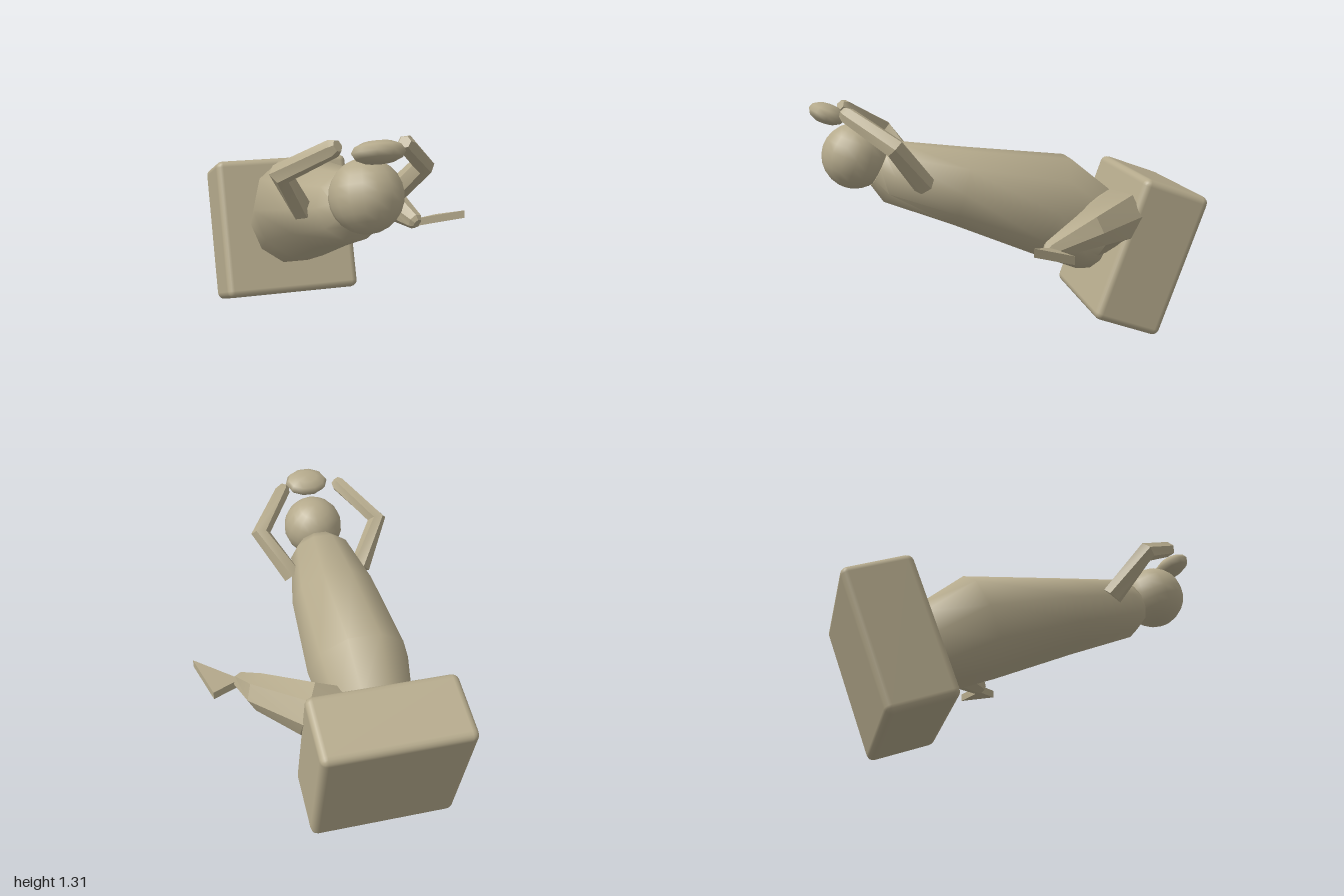
import * as THREE from 'three';
import { toCreasedNormals } from 'three/addons/utils/BufferGeometryUtils.js';
import { RoundedBoxGeometry } from 'three/addons/geometries/RoundedBoxGeometry.js';
import { ConvexGeometry } from 'three/addons/geometries/ConvexGeometry.js';

const V = (x, y, z) => new THREE.Vector3(x, y, z);

// Closed loft through rings [x, y, z, radiusAcross, radiusUp]
function loft(rings, sides, crease) {
  const pos = [], idx = [], up = V(0, 1, 0);
  const c = rings.map(r => V(r[0], r[1], r[2]));
  const dir = i => c[i + 1].clone().sub(c[i]).normalize();
  const last = rings.length - 1;
  rings.forEach((r, i) => {
    const t = V(0, 0, 0);
    if (i > 0) t.add(dir(i - 1));
    if (i < last) t.add(dir(i));
    t.normalize();
    const s = up.clone().cross(t).normalize(), v = t.clone().cross(s);
    for (let j = 0; j < sides; j++) {
      const a = (j / sides) * Math.PI * 2;
      const p = c[i].clone().addScaledVector(s, Math.cos(a) * r[3])
        .addScaledVector(v, Math.sin(a) * (r[4] ?? r[3]));
      pos.push(p.x, p.y, p.z);
    }
  });
  for (let i = 0; i < last; i++) {
    for (let j = 0; j < sides; j++) {
      const k = (j + 1) % sides, a = i * sides, b = a + sides;
      idx.push(a + j, a + k, b + k, a + j, b + k, b + j);
    }
  }
  for (let j = 1; j < sides - 1; j++) {
    const e = last * sides;
    idx.push(0, j + 1, j, e, e + j, e + j + 1);
  }
  const g = new THREE.BufferGeometry();
  g.setAttribute('position', new THREE.Float32BufferAttribute(pos, 3));
  g.setIndex(idx);
  return toCreasedNormals(g, crease);
}

export function createModel() {
  const root = new THREE.Group();
  const clay = new THREE.MeshStandardMaterial({ color: 0xb5aa8c });
  clay.name = 'clay';
  const add = (parent, name, geometry) => {
    const m = new THREE.Mesh(geometry, clay);
    m.name = name;
    parent.add(m);
    return m;
  };

  // Tilted frame: z runs along the body from the block to the head
  const figure = new THREE.Group();
  figure.name = 'figure';
  const across = V(0.816, 0, 0.578).normalize();
  const along = V(-0.543, 0.344, 0.767).normalize();
  const upward = along.clone().cross(across).normalize();
  figure.quaternion.setFromRotationMatrix(
    new THREE.Matrix4().makeBasis(across, upward, along));
  figure.position.set(0.315, 0.453, -0.515);
  root.add(figure);

  // Hind block
  add(figure, 'block', new RoundedBoxGeometry(0.82, 0.83, 0.4, 2, 0.04));

  // Arched body
  add(figure, 'body', loft([
    [0, 0.0, 0.12, 0.2, 0.2],
    [0, 0.01, 0.25, 0.245, 0.255],
    [0, 0.07, 0.55, 0.29, 0.305],
    [0, 0.015, 1.08, 0.258, 0.22],
    [0, -0.02, 1.45, 0.185, 0.175],
    [0, -0.01, 1.53, 0.12, 0.12],
  ], 10, 0.9));

  // Head and the flattened crest above it
  add(figure, 'head', new THREE.SphereGeometry(0.178, 16, 12)).position.set(0, 0, 1.67);
  const crest = add(figure, 'crest', new THREE.SphereGeometry(1, 10, 6));
  crest.scale.set(0.13, 0.055, 0.1);
  crest.position.set(0.005, 0.171, 1.88);

  // Bent arms reaching round the head
  for (const side of [1, -1]) {
    add(figure, side > 0 ? 'leftArm' : 'rightArm', loft([
      [side * 0.21, -0.01, 1.3, 0.06],
      [side * 0.36, 0.147, 1.53, 0.057],
      [side * 0.175, 0.214, 1.79, 0.045],
      [side * 0.16, 0.22, 1.815, 0.03],
    ], 6, 0.5));
  }

  // Single leg with thick thigh and narrow ankle
  add(root, 'leg', loft([
    [0.3, 0.58, -0.24, 0.16],
    [0.485, 0.7, -0.14, 0.15],
    [0.53, 0.685, 0.15, 0.106],
    [0.465, 0.61, 0.38, 0.05],
    [0.46, 0.6, 0.4, 0.03],
  ], 7, 0.5));

  // Wedge foot
  const sole = [V(0.47, 0.58, 0.38), V(0.65, 0.575, 0.41), V(0.58, 0.65, 0.64)];
  add(root, 'foot', new ConvexGeometry(
    sole.concat(sole.map(p => p.clone().add(V(0, 0.045, 0))))));

  return root;
}
